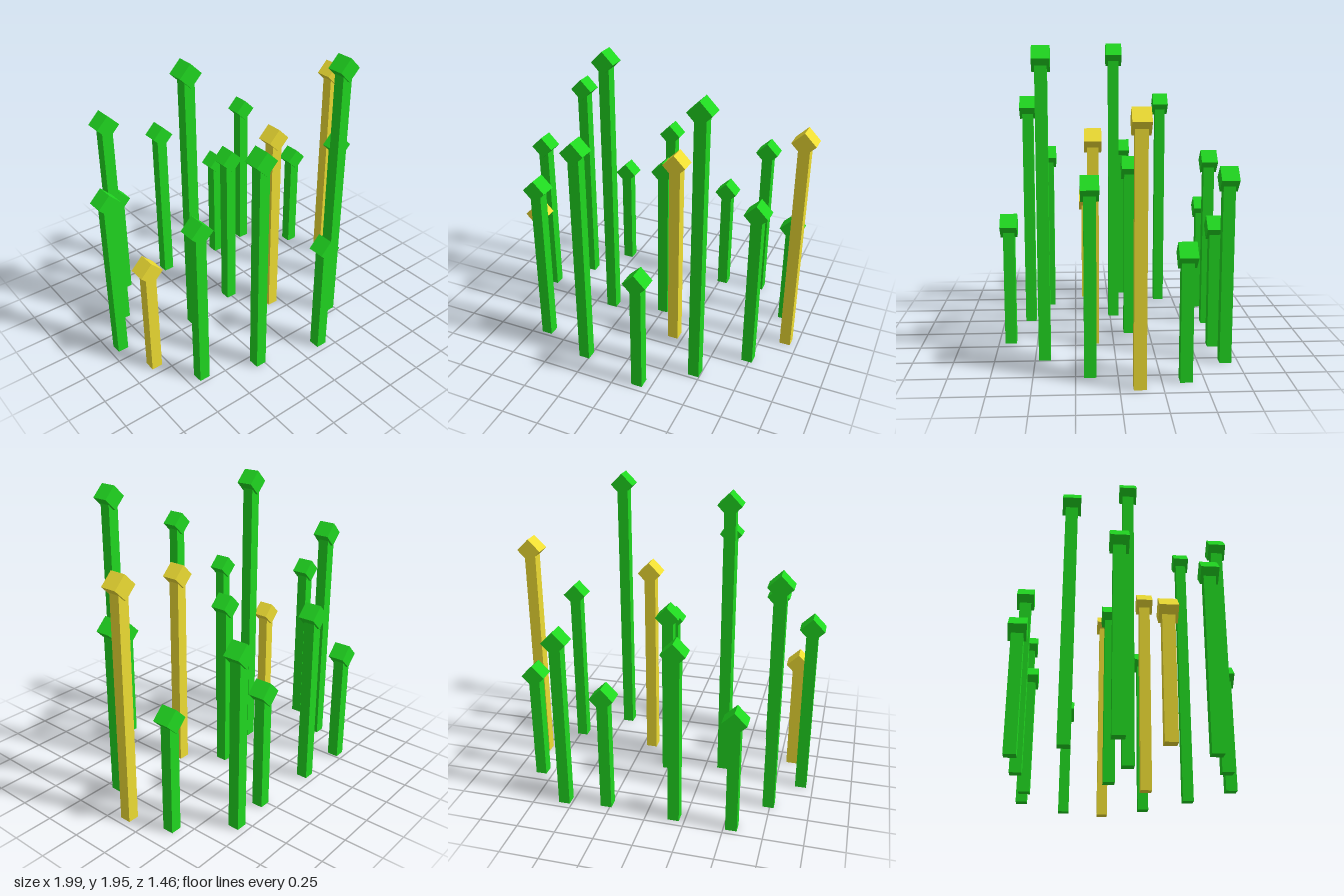
import * as THREE from 'three';

const POST = 0.073; // post thickness
const CAP = 0.109; // edge of the cube on top

// x, z and height of each cap centre
const GREEN = [
  [-0.55, -0.68, 0.76], [-0.18, -0.67, 1.15], [0.275, -0.64, 0.785], [0.55, -0.67, 1.14],
  [-0.74, -0.39, 1.51], [0.83, -0.39, 0.75], [-0.92, -0.115, 1.15], [0, -0.115, 1.135],
  [-0.37, -0.025, 1.87], [0.735, 0.163, 1.12], [-0.645, 0.44, 1.13], [0.46, 0.44, 1.845],
  [-0.28, 0.565, 1.515], [0.16, 0.673, 0.785],
];
const YELLOW = [[0.92, -0.115, 1.515], [-0.83, 0.163, 0.77], [0.185, 0.132, 1.335]];

// Square stalk carrying a cube turned onto its edge
function makeStalk(x, z, height, material) {
  const stalk = new THREE.Group();
  stalk.position.set(x, 0, z);

  const post = new THREE.Mesh(new THREE.BoxGeometry(POST, height, POST), material);
  post.name = 'post';
  post.position.y = height / 2;

  const cap = new THREE.Mesh(new THREE.BoxGeometry(CAP, CAP, CAP), material);
  cap.name = 'cap';
  cap.position.y = height;
  cap.rotation.z = Math.PI / 4;

  stalk.add(post, cap);
  return stalk;
}

export function createModel() {
  const model = new THREE.Group();
  model.name = 'stalks';
  const sets = [['greenStalk', GREEN, 0x20d820], ['yellowStalk', YELLOW, 0xeedd33]];
  for (const [name, places, color] of sets) {
    const material = new THREE.MeshStandardMaterial({ color });
    places.forEach(([x, z, height], i) => {
      const stalk = makeStalk(x, z, height, material);
      stalk.name = name + (i + 1);
      model.add(stalk);
    });
  }
  return model;
}
